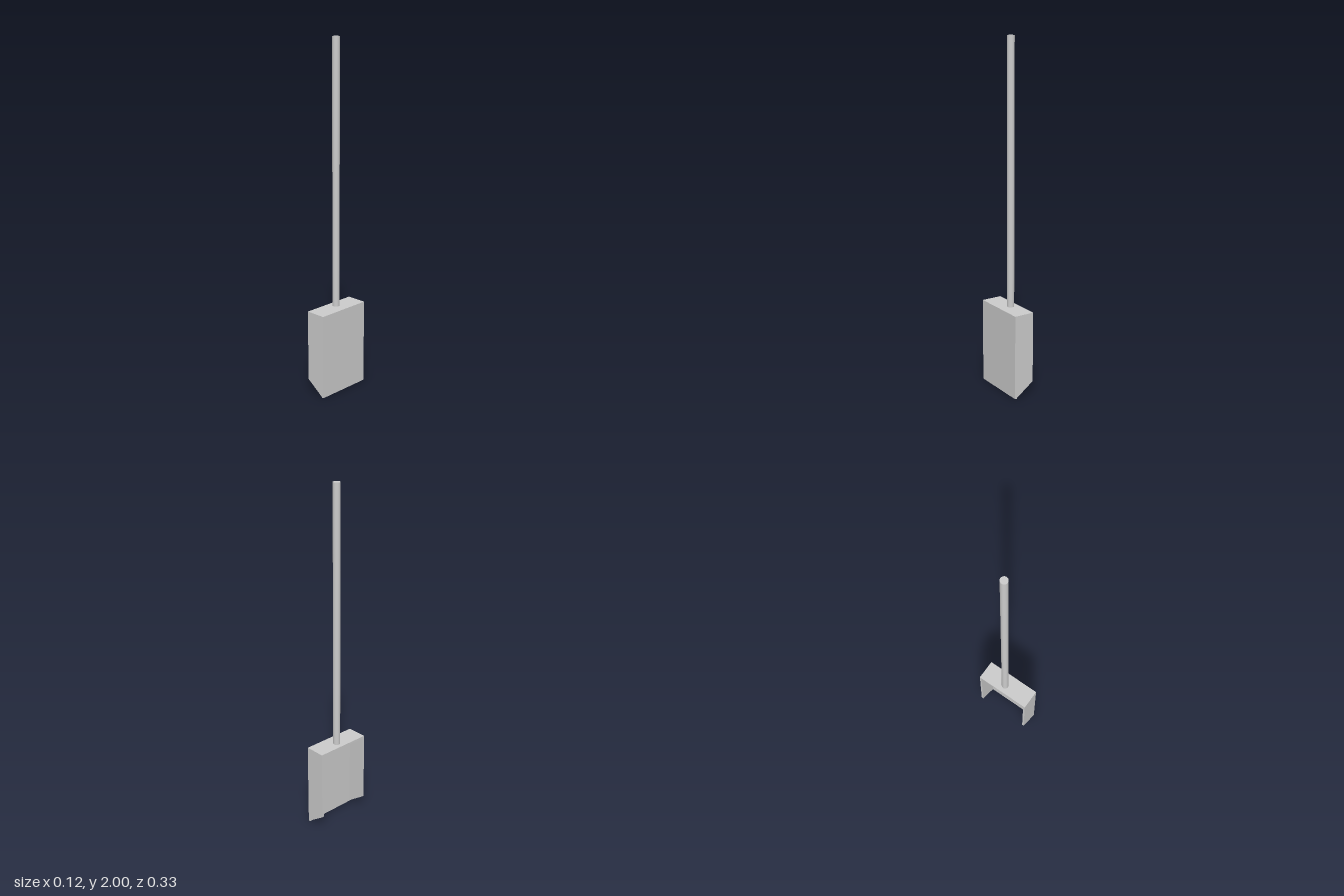
import * as THREE from 'three';

export function createModel() {
  const group = new THREE.Group();
  group.name = 'scoop';
  const material = new THREE.MeshStandardMaterial({ color: 0xcccccc });

  const halfX = 0.06, halfZ = 0.167, top = 0.492, wall = 0.012, lip = 0.08;

  const add = (name, geometry, x, y, z) => {
    const mesh = new THREE.Mesh(geometry, material);
    mesh.name = name;
    mesh.position.set(x, y, z);
    group.add(mesh);
  };

  // Flat blade panel, reaching the ground
  add('bladePanel', new THREE.BoxGeometry(wall, top - wall, 2 * halfZ),
    halfX - wall / 2, (top - wall) / 2, 0);

  // Closed top; the face opposite the blade and the bottom stay open
  add('topPlate', new THREE.BoxGeometry(2 * halfX, wall, 2 * halfZ), 0, top - wall / 2, 0);

  // Side walls with a slanted lower edge
  const profile = new THREE.Shape([
    new THREE.Vector2(-halfX, lip),
    new THREE.Vector2(halfX - wall, 0.004),
    new THREE.Vector2(halfX - wall, top - wall),
    new THREE.Vector2(-halfX, top - wall),
  ]);
  const sideGeometry = new THREE.ExtrudeGeometry(profile, { depth: wall, bevelEnabled: false });
  add('frontWall', sideGeometry, 0, 0, halfZ - wall);
  add('backWall', sideGeometry, 0, 0, -halfZ);

  // Long round handle, slightly off centre
  const length = 2 - top;
  add('handle', new THREE.CylinderGeometry(0.0205, 0.0205, length, 32),
    -0.014, top + length / 2, -0.011);

  return group;
}
